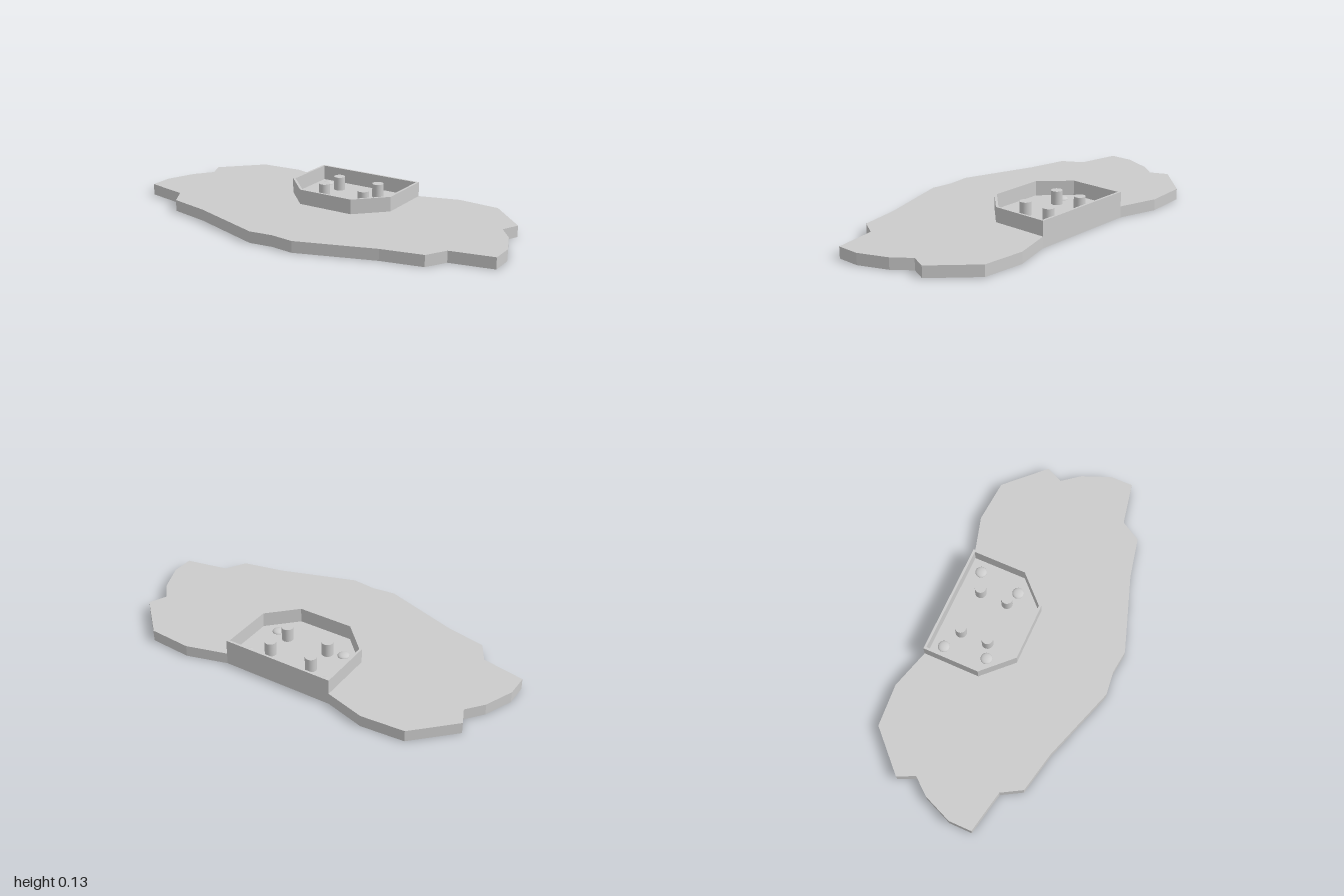
import * as THREE from 'three';

const PLATE_TOP = 0.058;
const WALL_TOP = 0.134;

// Mirrors a right-hand list of [x, z] points into a closed outline
function mirrored(half) {
  const other = half.filter(([x]) => x > 0).map(([x, z]) => [-x, z]).reverse();
  return [...half, ...other].map(([x, z]) => new THREE.Vector2(x, -z));
}

// Extrudes a plan outline upwards from y0 to y1
function slab(outline, hole, y0, y1, material) {
  const shape = new THREE.Shape(outline);
  if (hole) shape.holes.push(new THREE.Path(hole));
  const geometry = new THREE.ExtrudeGeometry(shape, { depth: y1 - y0, bevelEnabled: false });
  geometry.rotateX(-Math.PI / 2).translate(0, y0, 0);
  return new THREE.Mesh(geometry, material);
}

export function createModel() {
  const model = new THREE.Group();
  const grey = new THREE.MeshStandardMaterial({ color: 0xcccccc });
  const add = (mesh, name) => {
    mesh.name = name;
    model.add(mesh);
    return mesh;
  };

  // Flat base plate with a stepped, symmetrical outline
  const plateHalf = [
    [0, 0.471], [0.12, 0.485], [0.51, 0.355], [0.72, 0.31], [0.78, 0.207],
    [1, 0.163], [1, 0.045], [0.94, -0.102], [0.87, -0.19], [0.91, -0.278],
    [0.72, -0.468], [0.5, -0.484], [0.293, -0.425],
  ];
  add(slab(mirrored(plateHalf), null, 0, PLATE_TOP, grey), 'basePlate');

  // Thin six-sided wall, flush with the back edge of the plate
  const wallOuter = [[0.15, 0.015], [0.293, -0.13], [0.293, -0.425]];
  const wallInner = [[0.145, 0.003], [0.281, -0.135], [0.281, -0.413]];
  add(slab(mirrored(wallOuter), mirrored(wallInner), PLATE_TOP, WALL_TOP, grey), 'enclosureWall');

  // Four mounting posts inside the wall
  const postHeight = 0.07;
  const postGeometry = new THREE.CylinderGeometry(0.029, 0.029, postHeight, 32);
  // Low domed studs near the corners
  const domeGeometry = new THREE.SphereGeometry(0.03, 32, 10, 0, Math.PI * 2, 0, Math.PI / 2);
  domeGeometry.scale(1, 0.45, 1);

  for (const side of [-1, 1]) {
    for (const z of [-0.306, -0.16]) {
      add(new THREE.Mesh(postGeometry, grey), 'mountingPost')
        .position.set(side * 0.117, PLATE_TOP + postHeight / 2, z);
    }
    for (const [x, z] of [[0.221, -0.353], [0.192, -0.132]]) {
      add(new THREE.Mesh(domeGeometry, grey), 'domedStud')
        .position.set(side * x, PLATE_TOP, z);
    }
  }
  return model;
}
